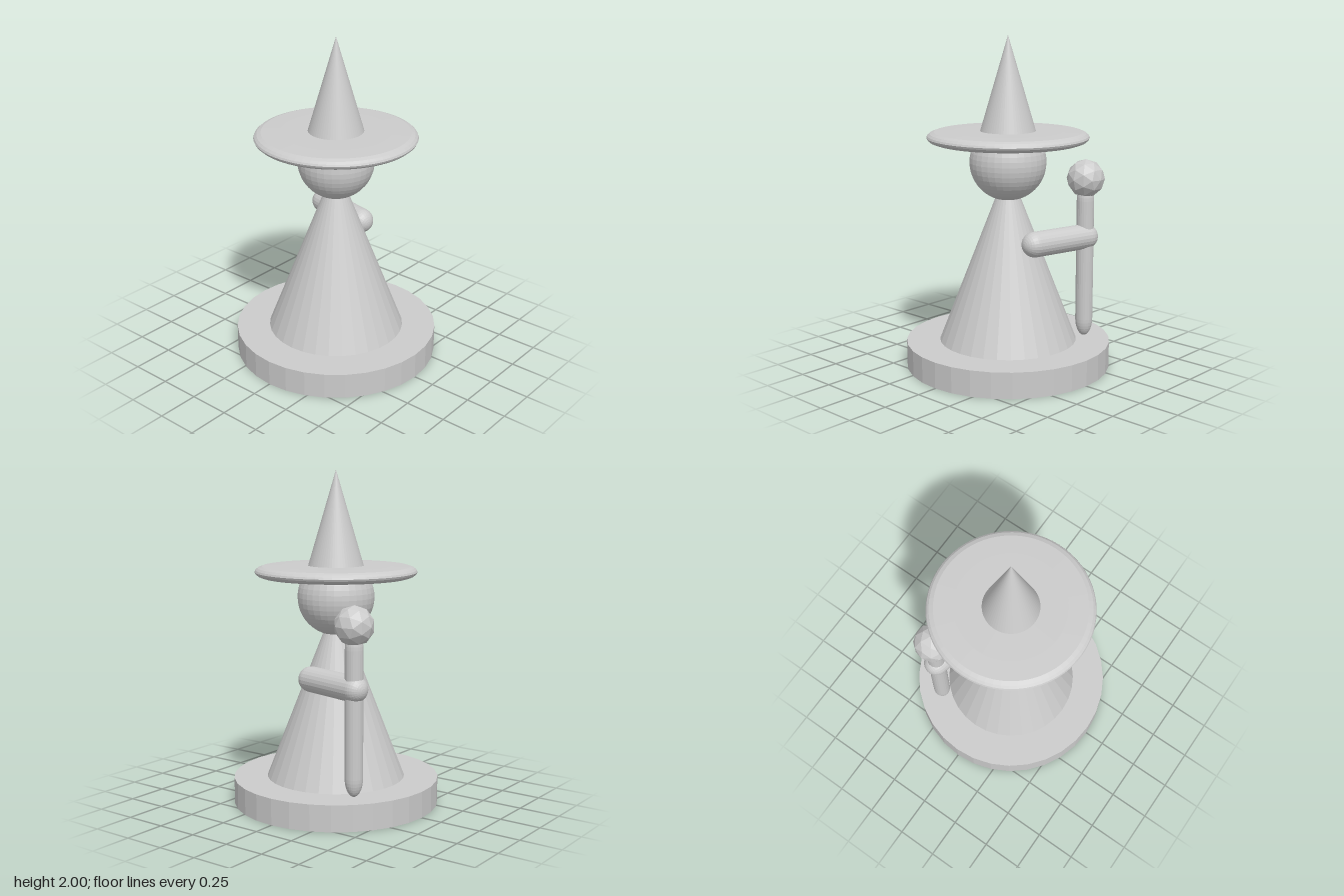
import * as THREE from 'three';

export function createModel() {
  const model = new THREE.Group();
  const material = new THREE.MeshStandardMaterial({ color: 0xcccccc, flatShading: true });

  const add = (name, geometry, x = 0, y = 0, z = 0) => {
    const mesh = new THREE.Mesh(geometry, material);
    mesh.name = name;
    mesh.position.set(x, y, z);
    model.add(mesh);
    return mesh;
  };

  // Cone or cylinder standing on a given height
  const addRound = (name, rTop, rBottom, y0, y1, sides) =>
    add(name, new THREE.CylinderGeometry(rTop, rBottom, y1 - y0, sides), 0, (y0 + y1) / 2, 0);

  // Stand, robe and head
  addRound('base', 0.62, 0.62, 0, 0.157, 32);
  addRound('robe', 0, 0.417, 0.157, 1.23, 32);
  add('head', new THREE.SphereGeometry(0.23, 32, 24), 0, 1.25, 0);

  // Hat: flat brim with a rounded rim, and a pointed crown
  const half = [[0, 0.036], [0.325, 0.036], [0.44, 0.032], [0.465, 0.023], [0.479, 0.011]];
  const profile = [
    ...half.map(([r, h]) => new THREE.Vector2(r, -h)),
    new THREE.Vector2(0.484, 0),
    ...half.slice().reverse().map(([r, h]) => new THREE.Vector2(r, h)),
  ];
  add('hatBrim', new THREE.LatheGeometry(profile, 64), 0, 1.402, 0);
  addRound('hatCrown', 0, 0.176, 1.402, 2, 64);

  // Staff with elongated round ends, topped by a faceted orb
  const [sx, sz] = [0.31, -0.355];
  const staff = add('staff', new THREE.CapsuleGeometry(0.053, 0.36, 8, 24), sx, 0.637, sz);
  staff.scale.y = 0.96 / 0.466;
  add('staffOrb', new THREE.IcosahedronGeometry(0.116, 1), sx, 1.143, sz);

  // Arm reaching back from the robe to grip the staff
  const shoulder = new THREE.Vector3(0.225, 0.783, 0.015);
  const hand = new THREE.Vector3(sx, 0.783, -0.36);
  const reach = hand.clone().sub(shoulder);
  const arm = add('arm', new THREE.CapsuleGeometry(0.076, reach.length(), 8, 24));
  arm.position.copy(shoulder).lerp(hand, 0.5);
  arm.quaternion.setFromUnitVectors(new THREE.Vector3(0, 1, 0), reach.normalize());

  return model;
}
